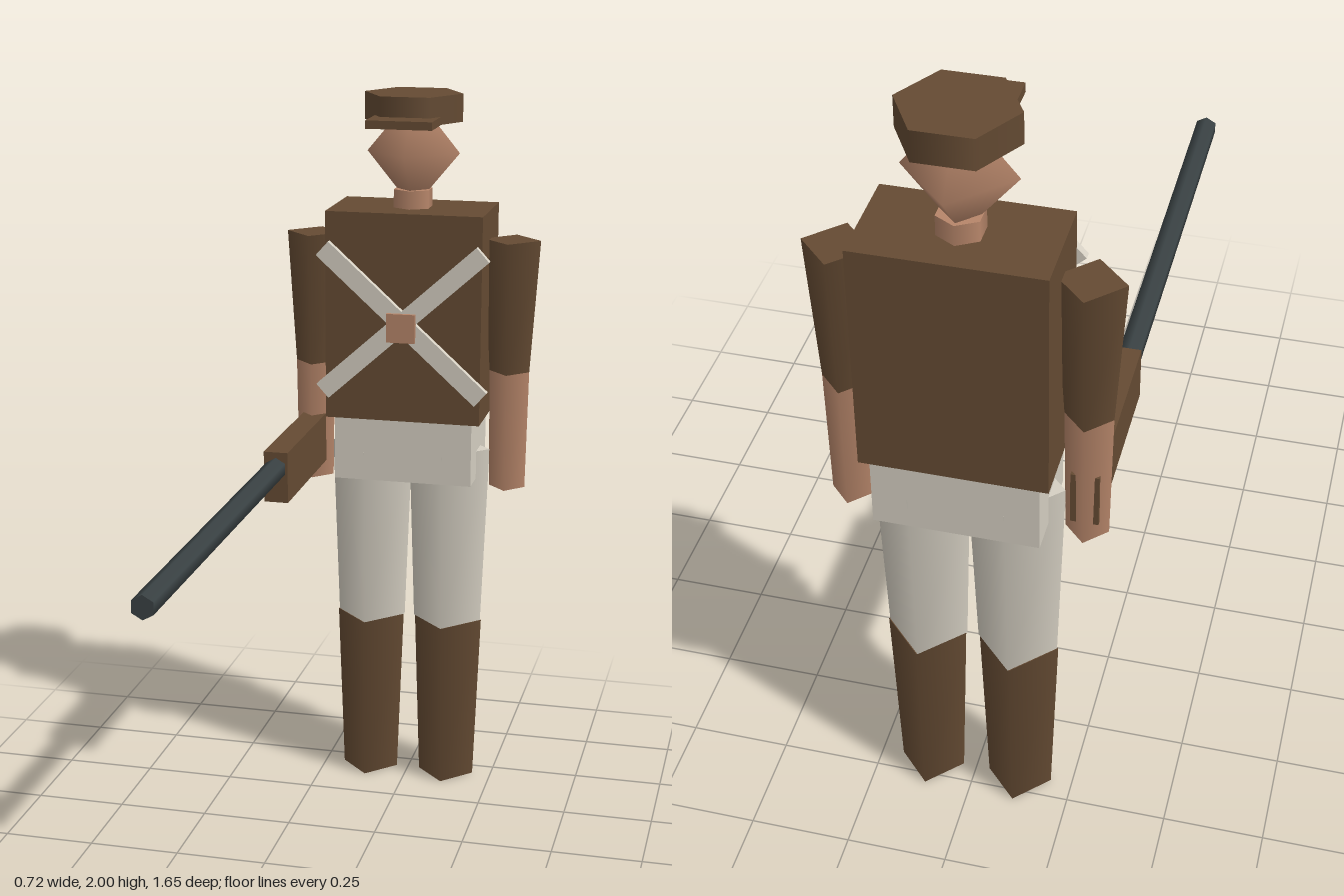
import * as THREE from 'three';

const paint = (name, color) => {
  const m = new THREE.MeshStandardMaterial({ color });
  m.name = name;
  return m;
};

export function createModel() {
  const brown = paint('brown cloth', 0x654b33);
  const cream = paint('cream cloth', 0xd6d0c3);
  const skin = paint('skin', 0xb7866a);
  const steel = paint('dark steel', 0x3a4244);

  const model = new THREE.Group();
  model.name = 'soldier';
  const Z = -0.698; // depth of the standing figure

  const add = (name, geometry, material, x, y, z) => {
    const mesh = new THREE.Mesh(geometry, material);
    mesh.name = name;
    mesh.position.set(x, y, z);
    model.add(mesh);
    return mesh;
  };
  const box = (name, mat, w, h, d, x, y, z) =>
    add(name, new THREE.BoxGeometry(w, h, d), mat, x, y, z);
  // upright tapered limb section between two heights
  const limb = (name, mat, rTop, rBottom, top, bottom, x, sides = 4) =>
    add(name, new THREE.CylinderGeometry(rTop, rBottom, top - bottom, sides), mat,
      x, (top + bottom) / 2, Z);

  // Body
  box('torso', brown, 0.436, 0.58, 0.252, 0, 1.4, Z);
  box('hips', cream, 0.39, 0.18, 0.23, 0, 1.02, Z);

  // Limbs, mirrored
  for (const [side, s] of [['left', 1], ['right', -1]]) {
    limb(side + 'Boot', brown, 0.098, 0.081, 0.49, 0, s * 0.115);
    limb(side + 'Trouser', cream, 0.116, 0.098, 1.01, 0.49, s * 0.112);
    limb(side + 'Sleeve', brown, 0.079, 0.056, 1.61, 1.24, s * 0.279);
    limb(side + 'Forearm', skin, 0.056, 0.051, 1.24, 0.905, s * 0.279);
    // chest strap
    box(side + 'ChestStrap', cream, 0.6, 0.052, 0.02, 0, 1.39, -0.563)
      .rotation.z = s * 0.732;
  }
  box('buckle', skin, 0.08, 0.08, 0.02, 0, 1.38, -0.552);

  // Head and cap
  limb('neck', skin, 0.056, 0.056, 1.74, 1.67, 0, 6);
  const head = new THREE.SphereGeometry(0.129, 4, 2);
  head.scale(1, 1.2, 1);
  add('head', head, skin, 0, 1.84, Z);
  limb('cap', brown, 0.136, 0.136, 2, 1.925, 0, 6).rotation.y = Math.PI / 2;
  box('capVisor', brown, 0.18, 0.022, 0.115, 0, 1.935, -0.56);

  // Rifle held in the right hand
  box('rifleStock', brown, 0.066, 0.14, 0.47, -0.278, 1.02, -0.495);
  const barrel = new THREE.CylinderGeometry(0.03, 0.03, 1.09, 6);
  barrel.rotateX(Math.PI / 2);
  add('rifleBarrel', barrel, steel, -0.278, 1.045, 0.282);

  return model;
}
